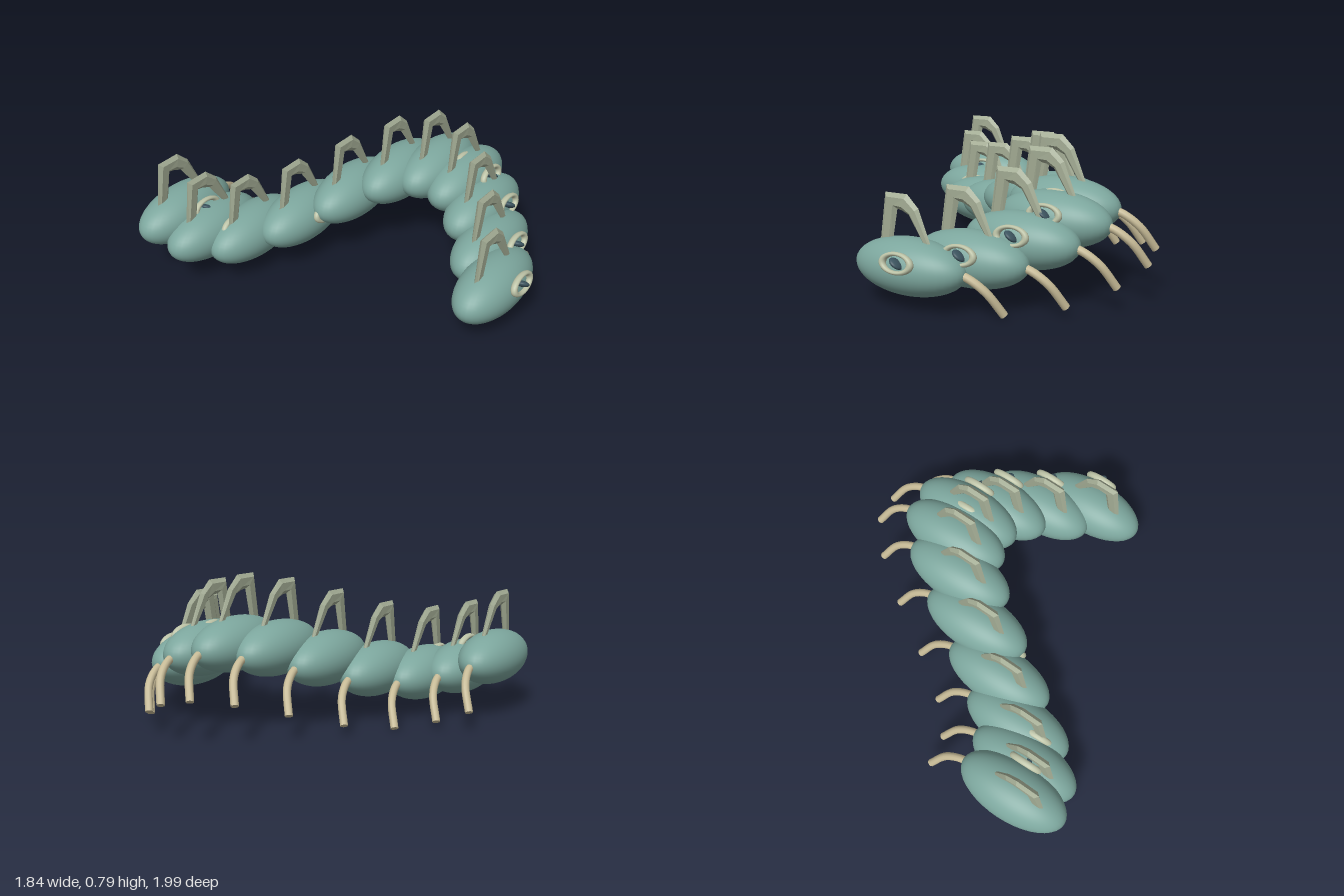
import * as THREE from 'three';

const mat = (name, color, extra = {}) => {
  const m = new THREE.MeshStandardMaterial({ color, ...extra });
  m.name = name;
  return m;
};

// Arched, faceted spine lofted from [x, y, z, outward angle, half width, half depth]
function spineGeometry() {
  const sections = [
    [-0.155, 0.06, -0.008, 3.04, 0.035, 0.012],
    [-0.110, 0.315, -0.004, 2.30, 0.052, 0.021],
    [-0.030, 0.315, 0.000, 1.20, 0.045, 0.021],
    [0.025, 0.275, 0.004, 0.60, 0.034, 0.019],
    [0.130, 0.08, 0.014, 0.40, 0.013, 0.010],
  ];
  const sides = 6, pos = [], index = [];
  sections.forEach(([x, y, z, angle, w, d], i) => {
    for (let j = 0; j < sides; j++) {
      const a = (j / sides) * Math.PI * 2;
      const r = Math.cos(a) * w;
      pos.push(x + Math.cos(angle) * r, y + Math.sin(angle) * r, z + Math.sin(a) * d);
      if (i < sections.length - 1) {
        const k = (j + 1) % sides;
        const A = i * sides + j, B = i * sides + k;
        index.push(A, B, A + sides, B, B + sides, A + sides);
      }
    }
  });
  const g = new THREE.BufferGeometry();
  g.setAttribute('position', new THREE.Float32BufferAttribute(pos, 3));
  g.setIndex(index);
  const flat = g.toNonIndexed();
  flat.computeVertexNormals();
  return flat;
}

export function createModel() {
  const model = new THREE.Group();
  model.name = 'segmentedCreature';

  const teal = mat('teal body', 0x7ca69d);
  const sand = mat('sand leg', 0xc6ba96);
  const sage = mat('sage spine', 0xa4ad95, { flatShading: true });
  const cream = mat('cream eye ring', 0xbcc2a6);
  const dark = mat('dark pupil', 0x3d5560);

  const ball = new THREE.SphereGeometry(1, 40, 28);
  const spineGeo = spineGeometry();
  const ringGeo = new THREE.TorusGeometry(0.079, 0.018, 12, 40);
  const legCurve = new THREE.CatmullRomCurve3([
    new THREE.Vector3(0.24, 0.005, 0),
    new THREE.Vector3(0.32, -0.012, -0.004),
    new THREE.Vector3(0.405, -0.075, -0.028),
    new THREE.Vector3(0.472, -0.195, -0.085),
  ]);
  const legGeo = new THREE.TubeGeometry(legCurve, 16, 0.021, 12);

  const add = (parent, name, geometry, material, scale = [1, 1, 1], position = [0, 0, 0]) => {
    const mesh = new THREE.Mesh(geometry, material);
    mesh.name = name;
    mesh.scale.set(...scale);
    mesh.position.set(...position);
    parent.add(mesh);
    return mesh;
  };

  // Segment centres along the winding body, front to back
  const xs = [-0.09, 0.155, 0.343, 0.433, 0.406, 0.269, 0.05, -0.2, -0.427, -0.573, -0.61];
  const ys = [0.215, 0.247, 0.327, 0.408, 0.445, 0.418, 0.343, 0.258, 0.215, 0.243, 0.311];

  xs.forEach((x, i) => {
    const seg = new THREE.Group();
    seg.name = 'segment' + (i + 1);
    seg.position.set(x, ys[i], 0.805 - 0.165 * i);
    model.add(seg);

    add(seg, 'body', ball, teal, [0.311, 0.143, 0.156]);
    add(seg, 'spine', spineGeo, sage);

    // Leg on the left side only, with a closed foot end
    add(seg, 'leg', legGeo, sand);
    const foot = add(seg, 'footEnd', new THREE.CircleGeometry(0.021, 12), sand, [1, 1, 1], legCurve.getPoint(1).toArray());
    foot.quaternion.setFromUnitVectors(new THREE.Vector3(0, 0, 1), legCurve.getTangent(1));

    // Eye: ring with a slanted slit pupil
    const eye = new THREE.Group();
    eye.name = 'eye';
    eye.position.set(0.02, 0.057, 0.15);
    eye.rotation.x = -0.22;
    seg.add(eye);
    add(eye, 'eyeRing', ringGeo, cream, [1, 0.57, 1]);
    const pupil = add(eye, 'pupil', ball, dark, [0.038, 0.016, 0.038]);
    pupil.rotation.z = -0.65;
  });

  return model;
}
